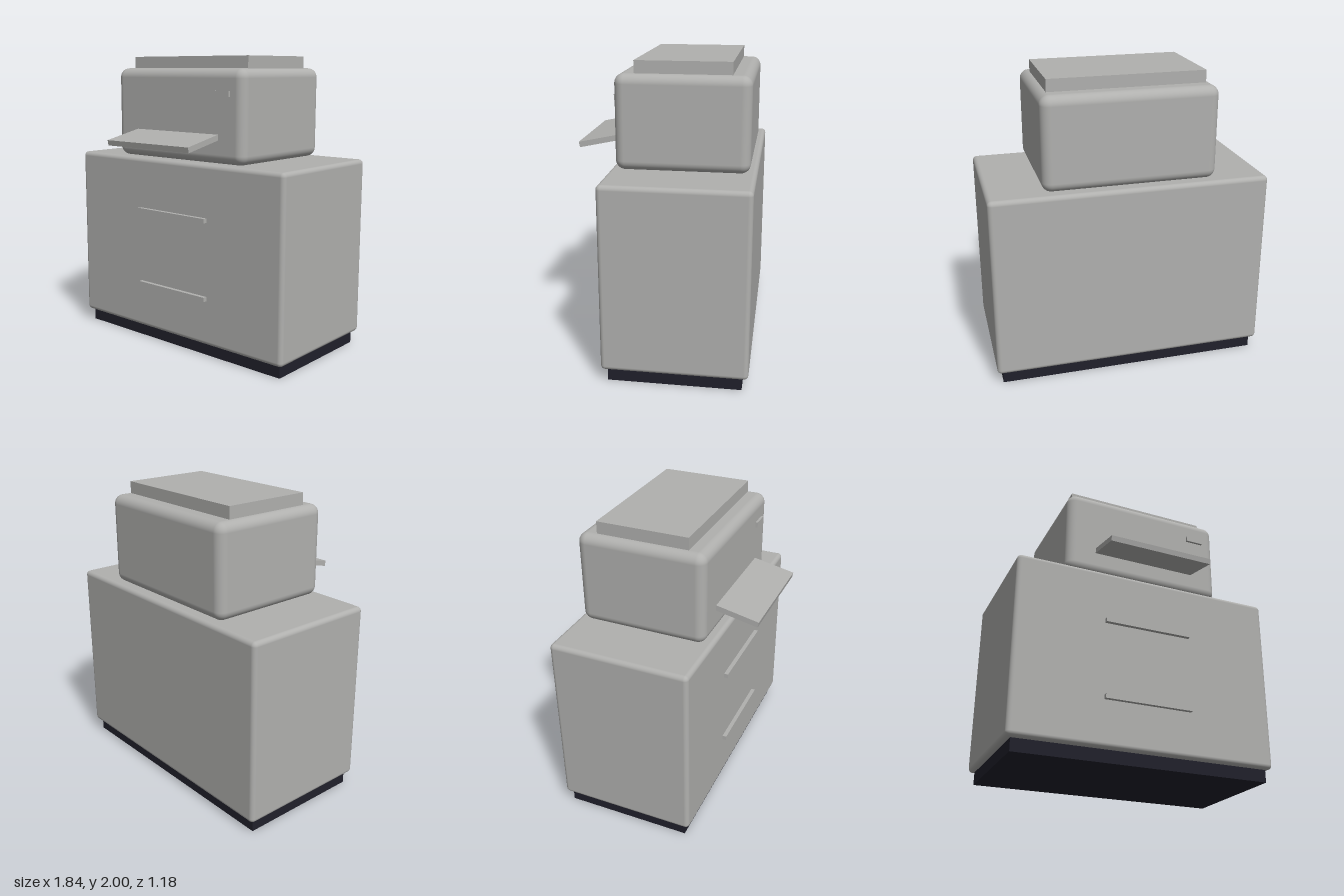
import * as THREE from 'three';
import { RoundedBoxGeometry } from 'three/addons/geometries/RoundedBoxGeometry.js';

export function createModel() {
  const model = new THREE.Group();
  const grey = new THREE.MeshStandardMaterial({ color: 0xb0b0ae });
  grey.name = 'warm grey';
  const dark = new THREE.MeshStandardMaterial({ color: 0x20202b });
  dark.name = 'dark plinth';

  const add = (name, geometry, material, x, y, z) => {
    const mesh = new THREE.Mesh(geometry, material);
    mesh.name = name;
    mesh.position.set(x, y, z);
    model.add(mesh);
    return mesh;
  };
  const box = (w, h, d) => new THREE.BoxGeometry(w, h, d);
  const midZ = -0.122; // shared depth centre of cabinet and printer

  // Cabinet on a recessed plinth
  add('plinth', box(1.76, 0.09, 0.858), dark, 0, 0.045, midZ);
  add('cabinet', new RoundedBoxGeometry(1.836, 1.223, 0.94, 5, 0.03), grey, 0, 0.6965, midZ);

  // Drawer handles
  for (const [name, y] of [['lowerHandle', 0.41], ['upperHandle', 0.941]]) {
    add(name, box(0.612, 0.03, 0.05), grey, 0, y, 0.351);
  }

  // Printer body with its lid and control button
  add('printerBody', new RoundedBoxGeometry(1.14, 0.61, 0.858, 7, 0.062), grey, 0, 1.615, midZ);
  add('scannerLid', box(1.024, 0.09, 0.614), grey, 0, 1.955, midZ);
  add('button', box(0.122, 0.037, 0.03), grey, 0.406, 1.761, 0.308);

  // Paper tray sloping down towards the front
  const tray = add('paperTray', box(0.736, 0.037, 0.32), grey, 0, 1.4575, 0.43);
  tray.rotation.x = 0.21;

  return model;
}
